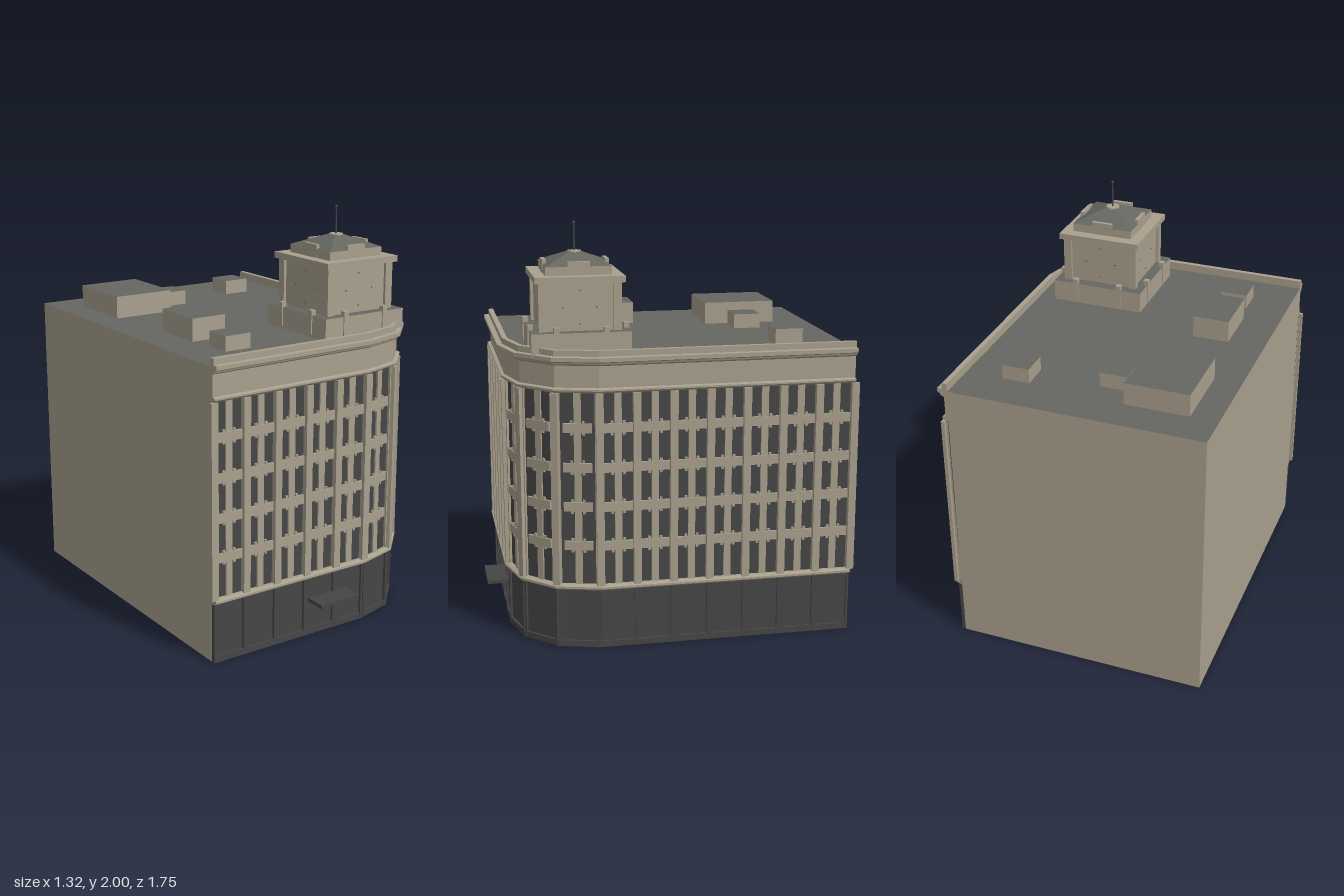
import * as THREE from 'three';

const mat = (name, color) => {
  const m = new THREE.MeshStandardMaterial({ color, side: THREE.DoubleSide });
  m.name = name;
  return m;
};
const stone = mat('stone', 0xa9a08d);
const charcoal = mat('charcoal', 0x464646);
const roofGrey = mat('roofGrey', 0x666661);

// Footprint: straight front and side joined by a three-facet corner of radius r
const CX = 0.227, CZ = 0.371, LEFT = -0.642, BACK = -0.857, WALL = 0.385;
const ROOF = 1.405, TOP = 1.445;
function path(r) {
  const pts = [[LEFT, CZ + r]];
  for (let i = 0; i <= 3; i++) {
    const a = i * Math.PI / 6;
    pts.push([CX + r * Math.sin(a), CZ + r * Math.cos(a)]);
  }
  pts.push([CX + r, BACK]);
  return pts;
}

function add(parent, name, geo, material, x = 0, y = 0, z = 0) {
  const m = new THREE.Mesh(geo, material);
  m.name = name;
  m.position.set(x, y, z);
  parent.add(m);
  return m;
}

// Box given by centre x, z, and bottom and top heights
function box(parent, name, material, x, z, w, d, y0, y1) {
  return add(parent, name, new THREE.BoxGeometry(w, y1 - y0, d), material, x, (y0 + y1) / 2, z);
}

// Box with stone sides and a grey top
const roofBox = (parent, name, ...dims) =>
  box(parent, name, [stone, stone, roofGrey, stone, stone, stone], ...dims);

// Sweep a closed (radius, height) profile round the street sides, with end caps
function sweep(parent, name, material, profile) {
  const rails = profile.map(([r, y]) => path(r).map(([x, z]) => [x, y, z]));
  const pos = [];
  const n = profile.length;
  for (let j = 0; j < n; j++) {
    const A = rails[j], B = rails[(j + 1) % n];
    for (let i = 0; i < A.length - 1; i++) {
      pos.push(...A[i], ...A[i + 1], ...B[i + 1], ...A[i], ...B[i + 1], ...B[i]);
    }
  }
  const tris = THREE.ShapeUtils.triangulateShape(profile.map(p => new THREE.Vector2(...p)), []);
  for (const [a, b, c] of tris) {
    pos.push(...rails[a][0], ...rails[b][0], ...rails[c][0]);
    pos.push(...rails[a][5], ...rails[c][5], ...rails[b][5]);
  }
  const g = new THREE.BufferGeometry();
  g.setAttribute('position', new THREE.Float32BufferAttribute(pos, 3));
  g.computeVertexNormals();
  add(parent, name, g, material);
}

// Window outline with clipped corners
function windowPoints(x, y, w, h, c) {
  const a = w / 2, b = h / 2;
  return [[-a + c, -b], [a - c, -b], [a, -b + c], [a, b - c], [a - c, b], [-a + c, b], [-a, b - c], [-a, -b + c]]
    .map(([u, v]) => new THREE.Vector2(x + u, y + v));
}

// Thin pier standing on the face of the wall
function pier(parent, x, z, angle) {
  const g = new THREE.Group();
  g.name = 'pier';
  g.position.set(x, 0, z);
  g.rotation.y = angle;
  box(g, 'pierFace', stone, 0, 0.022, 0.036, 0.018, 0.315, 1.247);
  parent.add(g);
}

function facade(parent) {
  const P = path(WALL), bays = [5, 1, 1, 1, 7], groundWindows = [4, 1, 1, 1, 6];
  for (let i = 0; i < 5; i++) {
    const [ax, az] = P[i], [bx, bz] = P[i + 1];
    const L = Math.hypot(bx - ax, bz - az), n = bays[i], step = L / n;
    const angle = Math.atan2(-(bz - az), bx - ax);
    const g = new THREE.Group();
    g.name = 'facadeSection';
    g.position.set((ax + bx) / 2, 0, (az + bz) / 2);
    g.rotation.y = angle;
    parent.add(g);

    // Inner wall with clipped-corner windows
    const wall = new THREE.Shape([[-L / 2, 0], [L / 2, 0], [L / 2, 1.4], [-L / 2, 1.4]]
      .map(p => new THREE.Vector2(...p)));
    const panes = [];
    const cut = (...dims) => {
      const pts = windowPoints(...dims);
      wall.holes.push(new THREE.Path(pts));
      panes.push(new THREE.Shape(pts));
    };
    const m = groundWindows[i];
    for (let k = 0; k < m; k++) cut(-L / 2 + (k + 0.5) * L / m, 0.15, 0.1, 0.18, 0.022);

    for (let k = 0; k < n; k++) {
      const x = -L / 2 + (k + 0.5) * step;
      for (let f = 0; f < 5; f++) {
        const y = 0.413 + f * 0.19;
        cut(x, y, 0.075, 0.13, 0.02);
        if (f === 4) continue;
        box(g, 'spandrel', stone, x, 0.008, 0.136, 0.016, y + 0.074, y + 0.118);
        for (const s of [-1, 1]) {
          box(g, 'spandrelBracket', stone, x + s * 0.028, 0.007, 0.012, 0.014, y + 0.062, y + 0.13);
        }
      }
      box(g, 'mullion', stone, x, 0.006, 0.034, 0.012, 0.315, 1.25);
      for (const s of [-1, 1]) {
        box(g, 'pierBacking', stone, x + s * (step / 2 - 0.009), 0.0075, 0.018, 0.015, 0.315, 1.25);
        box(g, 'basePilaster', charcoal, x + s * (step / 2 - 0.006), 0.008, 0.012, 0.02, 0, 0.29);
      }
    }
    add(g, 'streetWall', new THREE.ShapeGeometry(wall), stone);
    add(g, 'innerWindows', new THREE.ShapeGeometry(panes), charcoal);

    // Piers between bays, and at the start of the section
    for (let k = 1; k < n; k++) {
      pier(parent, ax + (bx - ax) * k / n, az + (bz - az) * k / n, angle);
    }
    pier(parent, ax, az, Math.max(0, i - 1) * Math.PI / 6);
  }
  pier(parent, P[5][0], P[5][1], Math.PI / 2);
}

function tower(parent) {
  const t = new THREE.Group();
  t.name = 'tower';
  t.position.set(0.287, 0, 0.432);
  parent.add(t);
  roofBox(t, 'towerBase', 0, 0, 0.468, 0.468, 1.4, 1.51);
  box(t, 'towerBody', stone, 0, 0, 0.36, 0.36, 1.51, 1.74);
  box(t, 'towerCornice', stone, 0, 0, 0.42, 0.42, 1.735, 1.765);
  box(t, 'lantern', stone, 0, 0, 0.31, 0.31, 1.765, 1.805);
  for (const sx of [-1, 1]) for (const sz of [-1, 1]) {
    box(t, 'cornerPilaster', stone, sx * 0.174, sz * 0.174, 0.04, 0.04, 1.51, 1.735);
  }
  // Details repeated on each of the four sides
  for (let k = 0; k < 4; k++) {
    const s = new THREE.Group();
    s.name = 'towerSide';
    s.rotation.y = k * Math.PI / 2;
    t.add(s);
    for (const e of [-1, 1]) box(s, 'baseBlock', stone, e * 0.117, 0.227, 0.026, 0.026, 1.42, 1.535);
    box(s, 'crestPlate', stone, 0, 0.148, 0.104, 0.018, 1.765, 1.828);
    for (let m = 0; m < 4; m++) {
      const a = m * Math.PI / 2;
      add(s, 'dialMark', new THREE.BoxGeometry(0.005, 0.005, 0.003), charcoal,
        0.078 * Math.cos(a), 1.62 + 0.078 * Math.sin(a), 0.1805);
    }
  }
  // Pyramid roof with cap and mast
  const pyramid = new THREE.CylinderGeometry(0.025 * Math.SQRT2, 0.155 * Math.SQRT2, 0.055, 4, 1)
    .rotateY(Math.PI / 4).toNonIndexed();
  pyramid.computeVertexNormals();
  add(t, 'pyramidRoof', pyramid, roofGrey, 0, 1.8325, 0);
  add(t, 'roofCap', new THREE.CylinderGeometry(0.033, 0.036, 0.012, 12), stone, 0, 1.857, 0);
  add(t, 'mast', new THREE.CylinderGeometry(0.003, 0.005, 0.135, 8), charcoal, 0, 1.925, 0);
  add(t, 'mastBall', new THREE.SphereGeometry(0.008, 10, 8), charcoal, 0, 1.992, 0);
}

export function createModel() {
  const building = new THREE.Group();
  building.name = 'cornerBuilding';

  facade(building);

  // Plain party walls; the underside stays open
  const backW = CX + WALL - LEFT, leftD = CZ + WALL - BACK;
  const back = add(building, 'backWall', new THREE.PlaneGeometry(backW, ROOF), stone,
    LEFT + backW / 2, ROOF / 2, BACK);
  back.rotation.y = Math.PI;
  const left = add(building, 'leftWall', new THREE.PlaneGeometry(leftD, ROOF), stone,
    LEFT, ROOF / 2, BACK + leftD / 2);
  left.rotation.y = -Math.PI / 2;

  // Upper glazing, dark ground floor, sill course, frieze and parapet
  sweep(building, 'upperGlazing', charcoal, [[0.386, 0.3], [0.389, 0.3], [0.389, 1.25], [0.386, 1.25]]);
  sweep(building, 'groundFloor', charcoal, [[0.387, 0], [0.391, 0], [0.391, 0.29], [0.387, 0.29]]);
  sweep(building, 'plinth', charcoal, [[0.39, 0], [0.402, 0], [0.402, 0.03], [0.39, 0.03]]);
  sweep(building, 'sillCourse', stone,
    [[0.386, 0.287], [0.405, 0.29], [0.42, 0.3], [0.42, 0.31], [0.405, 0.318], [0.386, 0.318]]);
  sweep(building, 'cornice', stone, [
    [0.386, 1.245], [0.405, 1.247], [0.415, 1.257], [0.415, 1.265], [0.398, 1.27], [0.398, 1.373],
    [0.415, 1.382], [0.418, 1.39], [0.43, 1.396], [0.43, 1.415], [0.405, 1.417], [0.405, TOP],
    [0.38, TOP], [0.38, 1.4]]);

  // Flat roof behind the parapet
  const outline = [...path(0.383), [LEFT, BACK]].map(([x, z]) => new THREE.Vector2(x, -z));
  const roof = new THREE.ShapeGeometry(new THREE.Shape(outline)).rotateX(-Math.PI / 2);
  add(building, 'roof', roof, roofGrey, 0, ROOF, 0);

  // Rooftop plant rooms: x, z, width, depth, top
  for (const [x, z, w, d, y] of [
    [-0.348, -0.497, 0.315, 0.365, 1.515], [-0.37, 0.185, 0.18, 0.27, 1.515],
    [-0.098, -0.498, 0.135, 0.135, 1.477], [0.353, -0.588, 0.135, 0.135, 1.477],
    [-0.372, 0.5, 0.135, 0.135, 1.477]]) {
    roofBox(building, 'plantRoom', x, z, w, d, 1.4, y);
  }

  tower(building);

  // Entrance canopy
  box(building, 'canopy', charcoal, 0.013, 0.818, 0.226, 0.108, 0.168, 0.186);
  return building;
}
